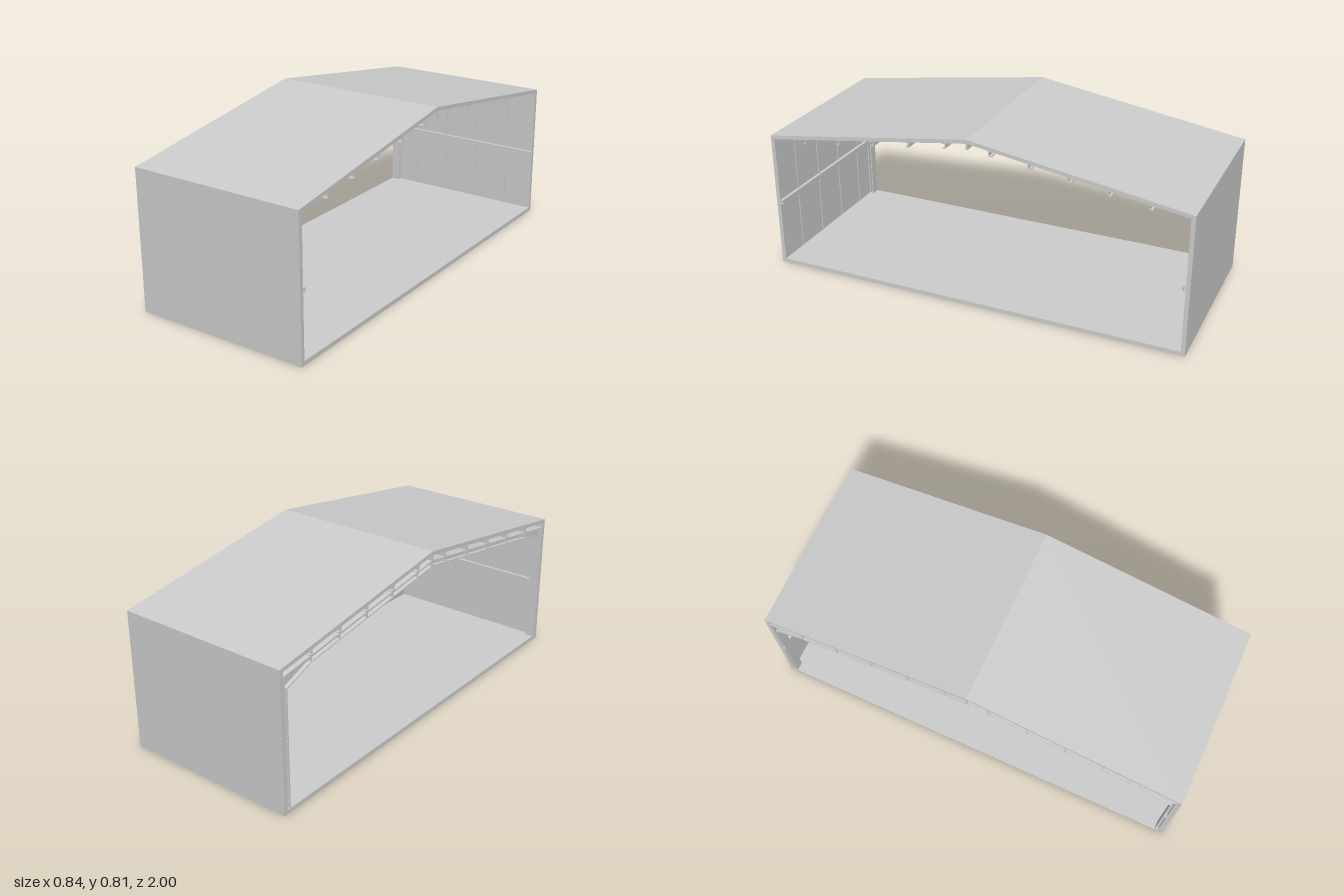
import * as THREE from 'three';

const HALF = 0.42;    // half length of the building along x
const SLOPE = 0.15;   // roof fall per unit of z
const material = new THREE.MeshStandardMaterial({ color: 0xcccccc, flatShading: true });

// Extrudes a [z, y] outline along x, from x0 to x1
function prism(name, points, x0, x1) {
  const shape = new THREE.Shape(points.map(([z, y]) => new THREE.Vector2(z, y)));
  const geometry = new THREE.ExtrudeGeometry(shape, { depth: x1 - x0, bevelEnabled: false });
  geometry.rotateY(-Math.PI / 2).translate(x1, 0, 0);
  const mesh = new THREE.Mesh(geometry, material);
  mesh.name = name;
  return mesh;
}

// Rectangular prism given by its limits
function block(name, x0, x1, y0, y1, z0, z1) {
  const mesh = new THREE.Mesh(new THREE.BoxGeometry(x1 - x0, y1 - y0, z1 - z0), material);
  mesh.position.set((x0 + x1) / 2, (y0 + y1) / 2, (z0 + z1) / 2);
  mesh.name = name;
  return mesh;
}

// Channel outline with its lower flange corner at (z, y), sheared by the roof slope
function channel(z, y, w, h, slope = 0) {
  const t = 0.005;
  return [[0, 0], [w, 0], [w, t], [t, t], [t, h - t], [w, h - t], [w, h], [0, h]]
    .map(([u, v]) => [z + u, y + v - slope * u]);
}

// One half of the building, drawn on the +z side
function buildHalf(name) {
  const half = new THREE.Group();
  half.name = name;

  // Cladding
  half.add(block('wall', -HALF, HALF, 0, 0.65, 0.981, 1));
  half.add(prism('roofPanel', [[0, 0.794], [1, 0.642], [1, 0.66], [0, 0.812]], -HALF, HALF));
  for (const x of [-0.27, -0.09, 0.09, 0.27]) {
    half.add(block('wallJoint', x - 0.003, x + 0.003, 0.02, 0.64, 0.977, 0.982));
  }

  // Horizontal members
  half.add(prism('girt', channel(0.966, 0.312, 0.016, 0.022), -HALF, HALF));
  const purlins = [0.107, 0.285, 0.462, 0.638, 0.815];
  for (const z of purlins) {
    half.add(prism('purlin', channel(z - 0.007, 0.769 - SLOPE * (z - 0.007), 0.015, 0.027, SLOPE), -HALF, HALF));
  }

  // I-section end frame: column
  const x0 = -HALF, x1 = -0.378, mid = (x0 + x1) / 2, t = 0.005;
  const frame = new THREE.Group();
  frame.name = 'endFrame';
  frame.add(block('columnWeb', mid - 0.003, mid + 0.003, 0.02, 0.62, 0.96, 0.98));
  frame.add(block('columnInnerFlange', x0, x1, 0.02, 0.56, 0.96, 0.96 + t));
  frame.add(block('columnOuterFlange', x0, x1, 0.02, 0.62, 0.976, 0.981));

  // Rafter with haunch
  const top = z => 0.77 - SLOPE * z;
  const bottom = z => 0.74 - 0.1525 * z;
  frame.add(prism('rafterWeb',
    [[0, bottom(0)], [0.815, bottom(0.815)], [0.962, 0.56], [0.98, 0.56], [0.98, top(0.98)], [0, top(0)]],
    mid - 0.003, mid + 0.003));
  frame.add(prism('rafterTopFlange',
    [[0, top(0) - t], [0.98, top(0.98) - t], [0.98, top(0.98)], [0, top(0)]], x0, x1));
  frame.add(prism('rafterBottomFlange',
    [[0, bottom(0)], [0.815, bottom(0.815)], [0.962, 0.56], [0.962, 0.566],
      [0.815, bottom(0.815) + t], [0, bottom(0) + t]], x0, x1));
  for (const z of [0.002, ...purlins]) {
    frame.add(block('stiffener', x0, x1, bottom(z) + 0.002, top(z) - 0.002, z - 0.002, z + 0.002));
  }
  half.add(frame);
  return half;
}

export function createModel() {
  const model = new THREE.Group();
  model.name = 'buildingSection';
  model.add(block('floorSlab', -HALF, HALF, 0, 0.02, -0.982, 0.982));
  model.add(block('ridgePurlin', -HALF, HALF, 0.767, 0.796, -0.005, 0.005));

  // The two halves share one shape, turned to opposite sides
  model.add(buildHalf('frontHalf'));
  const back = buildHalf('backHalf');
  back.traverse(part => {
    if (!part.isMesh) return;
    // Mirror in z and flip the winding so faces stay outward
    const g = part.geometry.index ? part.geometry.toNonIndexed() : part.geometry;
    g.scale(1, 1, -1);
    const p = g.attributes.position;
    for (let i = 0; i < p.count; i += 3) {
      const b = new THREE.Vector3().fromBufferAttribute(p, i + 1);
      p.setXYZ(i + 1, p.getX(i + 2), p.getY(i + 2), p.getZ(i + 2));
      p.setXYZ(i + 2, b.x, b.y, b.z);
    }
    g.computeVertexNormals();
    part.geometry = g;
    part.position.z *= -1;
  });
  model.add(back);
  return model;
}
